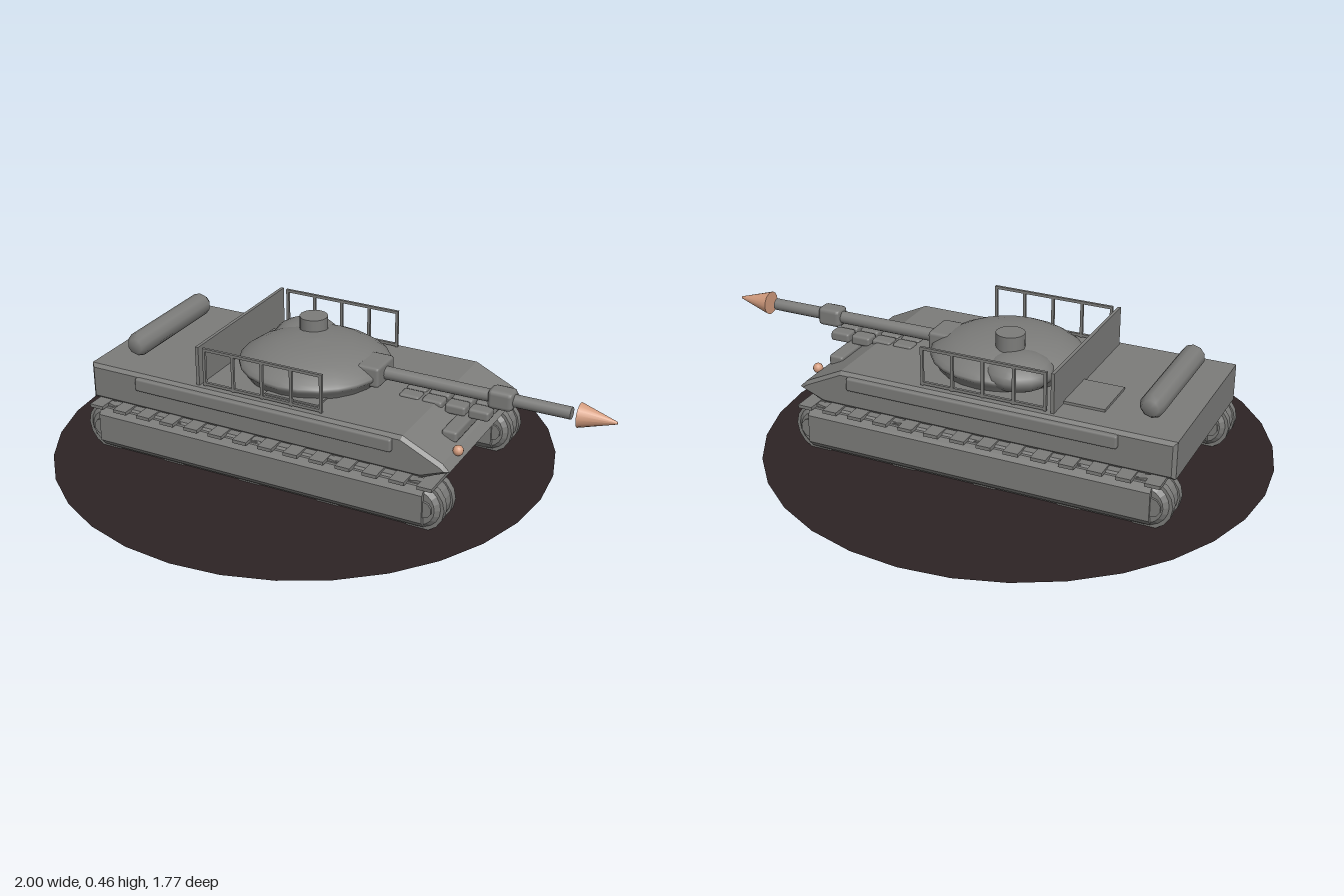
import * as THREE from 'three';
import { RoundedBoxGeometry } from 'three/addons/geometries/RoundedBoxGeometry.js';

const material = (name, color, extra = {}) => {
  const m = new THREE.MeshStandardMaterial({ color, ...extra });
  m.name = name;
  return m;
};

export function createModel() {
  const grey = material('armour grey', 0x7c7c7a);
  const copper = material('copper', 0xd39c7e);
  const earth = material('dark earth', 0x2d2324, { side: THREE.DoubleSide });
  const model = new THREE.Group();
  model.name = 'tank';

  const add = (name, geo, x, y, z, mat = grey) => {
    const mesh = new THREE.Mesh(geo, mat);
    mesh.name = name;
    mesh.position.set(x, y, z);
    model.add(mesh);
    return mesh;
  };
  const box = (name, w, h, d, x, y, z) => add(name, new THREE.BoxGeometry(w, h, d), x, y, z);
  const soft = (name, w, h, d, x, y, z, r = 0.01) =>
    add(name, new RoundedBoxGeometry(w, h, d, 1, r), x, y, z);
  // cylinder or cone running along +x
  const rod = (name, r0, r1, len, x, y, z, sides = 16, mat = grey) => {
    const geo = new THREE.CylinderGeometry(r1, r0, len, sides);
    return add(name, geo.rotateZ(-Math.PI / 2), x, y, z, mat);
  };
  // side profile in x,y given its full width, with chamfered rims
  const slab = (name, pts, width, bevel, z = 0) => {
    const shape = new THREE.Shape(pts.map(p => new THREE.Vector2(...p)));
    const geo = new THREE.ExtrudeGeometry(shape, {
      depth: width - 2 * bevel, bevelEnabled: bevel > 0, bevelThickness: bevel,
      bevelSize: bevel, bevelOffset: -bevel, bevelSegments: 1,
    });
    return add(name, geo.translate(0, 0, -width / 2 + bevel), 0, 0, z);
  };

  // ground disc
  add('groundDisc', new THREE.CircleGeometry(0.884, 32).rotateX(-Math.PI / 2), -0.117, 0.009, 0, earth);

  // hull
  slab('upperHull', [[-0.79, 0.175], [0.47, 0.175], [0.565, 0.215], [0.54, 0.24],
    [0.4, 0.307], [-0.79, 0.307]], 0.64, 0.012);
  slab('lowerHull', [[-0.74, 0.115], [0.37, 0.115], [0.48, 0.19], [-0.77, 0.19]], 0.46, 0);

  // running gear on both sides
  for (const s of [1, -1]) {
    const ring = [];
    for (let i = 0; i <= 10; i++) {
      const a = -Math.PI / 2 + (i / 10) * Math.PI;
      ring.push([0.475 + 0.083 * Math.cos(a), 0.092 + 0.083 * Math.sin(a)]);
    }
    for (let i = 0; i <= 10; i++) {
      const a = Math.PI / 2 + (i / 10) * Math.PI;
      ring.push([-0.707 + 0.083 * Math.cos(a), 0.092 + 0.083 * Math.sin(a)]);
    }
    slab('track', ring, 0.125, 0.02, s * 0.295);

    // chamfered side armour enclosing the wheels
    const section = new THREE.Shape([[-0.055, 0.02], [0.055, 0.02], [0.078, 0.045],
      [0.078, 0.145], [0.06, 0.168], [-0.06, 0.168], [-0.078, 0.145], [-0.078, 0.045]]
      .map(p => new THREE.Vector2(...p)));
    const guard = new THREE.ExtrudeGeometry(section, { depth: 1.23, bevelEnabled: false });
    add('trackGuard', guard.rotateY(Math.PI / 2), -0.73, 0, s * 0.295);

    // track pads
    for (let i = 0; i < 14; i++)
      box('trackPad', 0.052, 0.012, 0.165, -0.737 + i * 0.0958, 0.175, s * 0.295);

    // wheels
    for (const x of [-0.707, -0.45, -0.15, 0.15, 0.475]) {
      for (const dz of [-0.035, 0.035]) {
        const wheel = new THREE.CylinderGeometry(0.09, 0.09, 0.025, 16).rotateX(Math.PI / 2);
        add('wheel', wheel, x, 0.09, s * 0.295 + dz);
      }
    }
    for (const x of [-0.73, 0.5]) {
      const hub = new THREE.CylinderGeometry(0.03, 0.035, 0.14, 10).rotateX(Math.PI / 2);
      add('wheelHub', hub, x, 0.092, s * 0.295);
    }

    soft('sideStowage', 0.97, 0.048, 0.035, -0.115, 0.272, s * 0.318, 0.008);
    add('headlamp', new THREE.SphereGeometry(0.018, 12, 8), 0.552, 0.245, s * 0.212, copper);

    // side railing
    for (const y of [0.317, 0.442]) box('rail', 0.45, 0.01, 0.01, -0.12, y, s * 0.29);
    for (let i = 0; i < 5; i++)
      box('railPost', 0.01, 0.135, 0.01, -0.34 + i * 0.11, 0.377, s * 0.29);
  }
  box('rearShield', 0.012, 0.14, 0.59, -0.366, 0.377, 0);

  // deck fittings
  box('engineHatch', 0.185, 0.012, 0.18, -0.422, 0.31, -0.125);
  box('deckHatch', 0.2, 0.008, 0.1, -0.03, 0.309, 0.205);
  const roll = new THREE.LatheGeometry([[0, -0.225], [0.028, -0.225], [0.042, -0.205],
    [0.042, 0.205], [0.028, 0.225], [0, 0.225]].map(p => new THREE.Vector2(...p)), 10);
  add('rearRoll', roll.rotateX(Math.PI / 2), -0.667, 0.358, 0);
  soft('glacisBar', 0.055, 0.04, 0.35, 0.502, 0.264, 0, 0.01);
  for (let i = 0; i < 4; i++)
    for (const z of [-0.031, 0.031])
      soft('spareLink', 0.074, 0.036, 0.056, 0.305 + i * 0.083, 0.298, z, 0.01);

  // turret
  const dome = new THREE.LatheGeometry([[0.235, 0.3], [0.25, 0.328], [0.262, 0.34],
    [0.262, 0.352], [0.248, 0.362], [0.225, 0.378], [0.185, 0.397], [0.13, 0.412],
    [0.07, 0.42], [0, 0.423]].map(p => new THREE.Vector2(...p)), 24);
  add('turret', dome, -0.075, 0, 0);
  const blister = new THREE.SphereGeometry(0.12, 16, 10).scale(1, 0.5, 1);
  add('turretBlister', blister, -0.18, 0.355, -0.14);
  add('cupola', new THREE.CylinderGeometry(0.05, 0.05, 0.06, 16), -0.127, 0.432, -0.09);

  // gun
  soft('mantlet', 0.085, 0.075, 0.13, 0.155, 0.353, 0, 0.012);
  rod('barrel', 0.023, 0.021, 0.67, 0.515, 0.351, 0);
  soft('boreEvacuator', 0.088, 0.068, 0.068, 0.614, 0.351, 0, 0.016);
  rod('shell', 0.042, 0.004, 0.125, 0.9375, 0.351, 0, 16, copper);

  return model;
}
